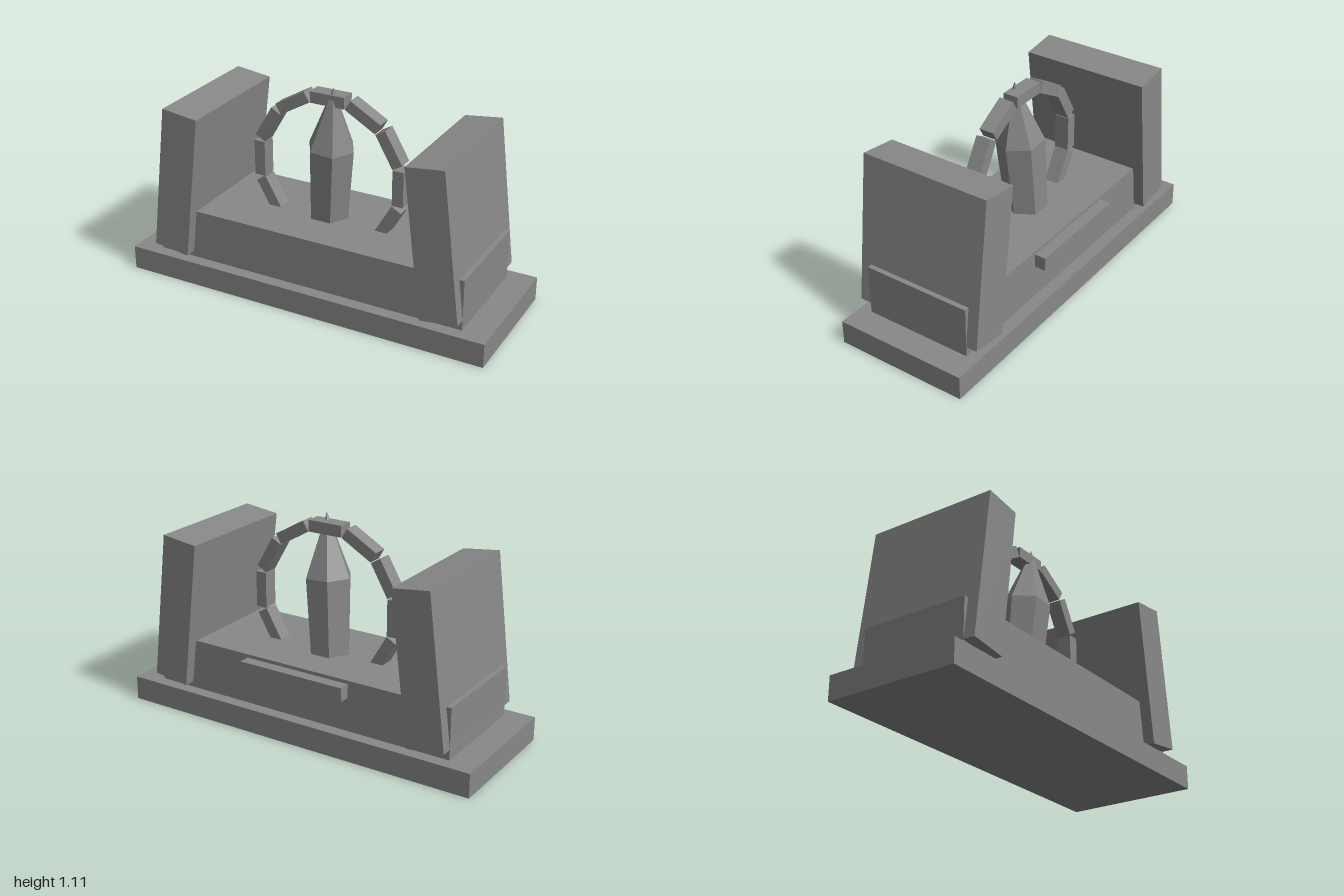
import * as THREE from 'three';

export function createModel() {
  const model = new THREE.Group();
  const stone = new THREE.MeshStandardMaterial({ color: 0x888888 });
  stone.name = 'grey stone';
  stone.flatShading = true;

  function add(name, geometry, x, y, z, parent = model) {
    const mesh = new THREE.Mesh(geometry, stone);
    mesh.name = name;
    mesh.position.set(x, y, z);
    parent.add(mesh);
    return mesh;
  }
  const box = (w, h, d) => new THREE.BoxGeometry(w, h, d);

  // Stepped plinth with a ledge on the back
  add('base', box(2, 0.127, 0.71), 0, 0.0635, 0);
  add('plinth', box(1.72, 0.27, 0.58), 0, 0.26, 0);
  add('backLedge', box(0.6, 0.072, 0.06), 0, 0.341, -0.32);

  // Side slabs leaning inwards
  for (const side of [-1, 1]) {
    const slab = add(side > 0 ? 'leftSlab' : 'rightSlab', box(0.2, 0.785, 0.7), side * 0.7125, 0.559, 0);
    slab.rotation.z = side * 0.124;
  }

  // Broken ring of blocks; its lowest part is buried in the plinth
  const ring = new THREE.Group();
  ring.name = 'ring';
  ring.position.set(-0.003, 0.65, 0);
  model.add(ring);
  for (let i = -4; i <= 4; i++) {
    const a = i * Math.PI / 6;
    const block = add('ringBlock', box(0.19, 0.06, 0.08), Math.sin(a) * 0.392, Math.cos(a) * 0.392, 0, ring);
    block.rotation.z = -a;
  }

  // Slightly tilted six-sided crystal: flared shaft and pointed cap
  const crystal = new THREE.Group();
  crystal.name = 'crystal';
  crystal.position.set(-0.02, 0.395, -0.016);
  crystal.rotation.set(0.055, 0, -0.063);
  model.add(crystal);
  const shaft = new THREE.CylinderGeometry(0.125, 0.108, 0.41, 6, 1, false, Math.PI / 6);
  const cap = new THREE.ConeGeometry(0.125, 0.327, 6, 1, true, Math.PI / 6);
  add('crystalShaft', shaft, 0, 0.185, 0, crystal);
  add('crystalCap', cap, 0, 0.39 + 0.1635, 0, crystal);

  return model;
}
